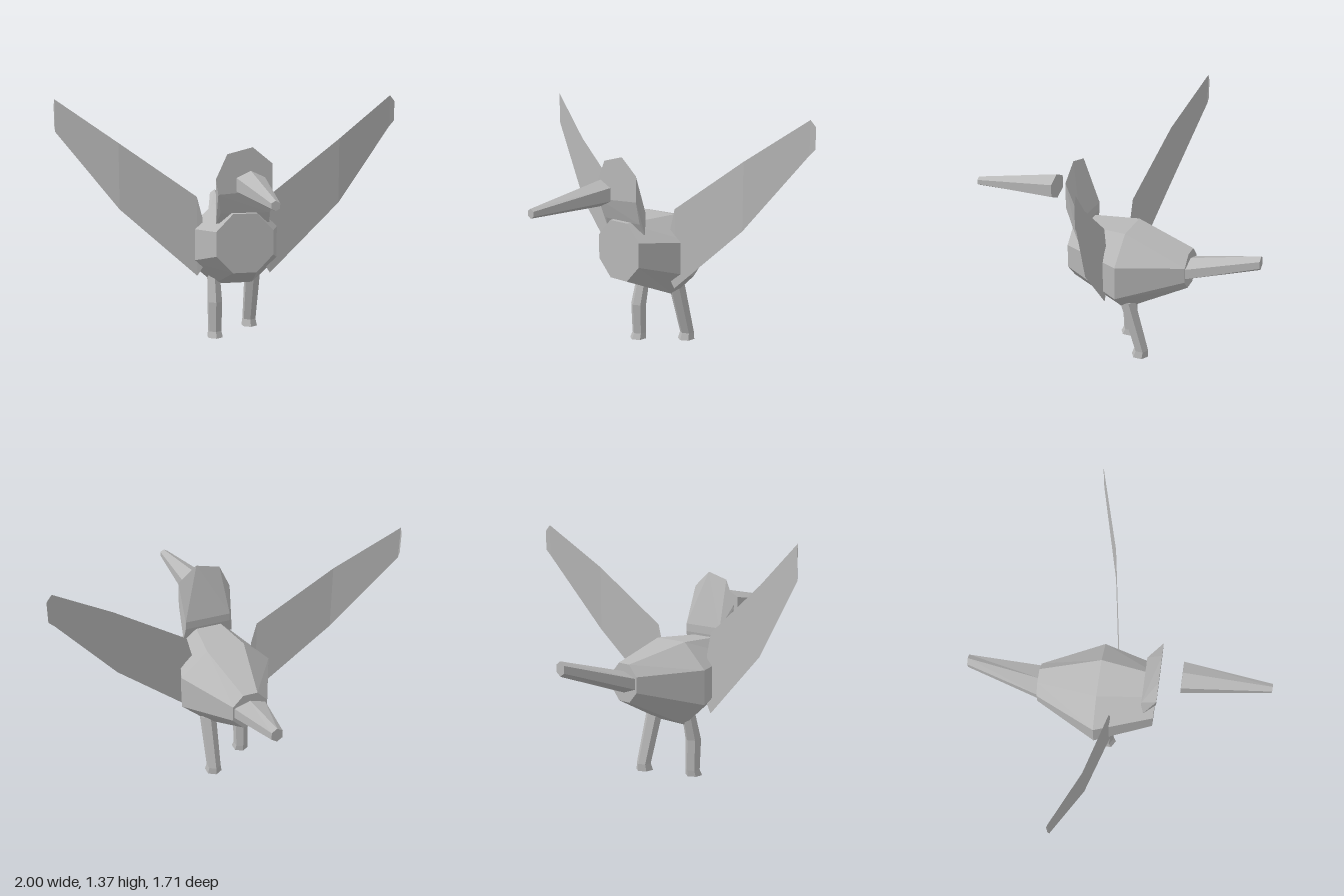
import * as THREE from 'three';
import { ConvexGeometry } from 'three/addons/geometries/ConvexGeometry.js';

const plumage = new THREE.MeshStandardMaterial({ color: 0xb8b8b8, flatShading: true });
plumage.name = 'plumage grey';
const wingGrey = plumage;

// Faceted tube through elliptical rings [x, y, z, rx, ry], listed from front to back
function loft(rings, sides, phase) {
  const pos = [], index = [], last = (rings.length - 1) * sides;
  for (const [x, y, z, rx, ry] of rings) {
    for (let j = 0; j < sides; j++) {
      const a = phase + (j / sides) * Math.PI * 2;
      pos.push(x + rx * Math.cos(a), y + ry * Math.sin(a), z);
    }
  }
  for (let i = 0; i < rings.length - 1; i++) {
    for (let j = 0; j < sides; j++) {
      const k = (j + 1) % sides;
      const a = i * sides + j, b = i * sides + k, c = a + sides, d = b + sides;
      index.push(a, c, b, b, c, d);
    }
  }
  for (let j = 1; j < sides - 1; j++) {
    index.push(0, j, j + 1, last, last + j + 1, last + j);
  }
  return facet(pos, index);
}

function facet(pos, index) {
  const indexed = new THREE.BufferGeometry();
  indexed.setAttribute('position', new THREE.Float32BufferAttribute(pos, 3));
  indexed.setIndex(index);
  const g = indexed.toNonIndexed();
  g.computeVertexNormals();
  return g;
}

// Thin wing from stations [x, z, bottom, top], root to tip
function wingGeometry(stations) {
  const pos = [], index = [];
  stations.forEach(([x, z, bottom, top], i) => {
    pos.push(x, bottom, z, x, top, z);
    if (i) {
      const a = (i - 1) * 2;
      index.push(a, a + 2, a + 1, a + 1, a + 2, a + 3);
    }
  });
  return facet(pos, index);
}

// Leg from rings [height, z, radius], top to bottom
function legGeometry(x, rings) {
  const g = loft(rings.map(([y, z, r]) => [x, -z, y, r * 0.95, r]), 6, Math.PI / 2);
  return g.rotateX(-Math.PI / 2);
}

export function createModel() {
  const bird = new THREE.Group();
  bird.name = 'bird';
  const add = (name, geometry, material = plumage) => {
    const mesh = new THREE.Mesh(geometry, material);
    mesh.name = name;
    bird.add(mesh);
  };

  // Octagonal body, widest in the middle
  const k = 1 / Math.cos(Math.PI / 8);
  add('body', loft([
    [0, 0.595, 0.228, 0.16 * k, 0.165 * k],
    [0, 0.535, -0.1, 0.265 * k, 0.235 * k],
    [0, 0.575, -0.45, 0.1 * k, 0.105 * k],
  ], 8, Math.PI / 8));

  // Flat-fronted wedge head with a short neck
  const headPoints = [
    [0.04, 1.125, 0.238], [-0.1, 1.09, 0.238], [-0.163, 0.955, 0.238], [-0.15, 0.87, 0.238],
    [0.15, 1.035, 0.238], [0.15, 0.89, 0.238],
    [-0.13, 0.82, 0.155], [0.14, 0.82, 0.155], [-0.13, 0.775, 0.155], [0.14, 0.775, 0.155],
    [-0.15, 0.7, 0.17], [0.15, 0.7, 0.17], [-0.13, 0.76, 0.2], [0.14, 0.76, 0.2],
  ];
  add('head', new ConvexGeometry(headPoints.map((p) => new THREE.Vector3(...p))));

  // Beak and tail are tapering hexagonal spikes
  add('beak', loft([
    [0.003, 0.94, 0.855, 0.026, 0.026].map((v, i) => (i === 0 ? 0.02 : i === 1 ? 0.9 : v)),
    [0.003, 0.94, 0.36, 0.09, 0.073],
  ], 6, Math.PI / 2));
  add('tail', loft([
    [0, 0.573, -0.43, 0.108, 0.06],
    [0.03, 0.701, -0.857, 0.035, 0.041],
  ], 6, Math.PI / 2));

  // Raised wings, swept back toward the tips
  const sheet = wingGrey.clone();
  sheet.name = 'wing grey';
  sheet.side = THREE.DoubleSide;
  for (const [name, side] of [['leftWing', 1], ['rightWing', -1]]) {
    const stations = [
      [0.18, -0.01, 0.42, 0.7],
      [0.212, -0.013, 0.37, 0.825],
      [0.64, -0.088, 0.755, 1.13],
      [0.982, -0.2, 1.188, 1.37],
      [1.013, -0.207, 1.22, 1.335],
    ].map(([x, z, b, t]) => [Math.max(-1, Math.min(1, side * x - 0.014)), z, b, t]);
    add(name, wingGeometry(stations), sheet);
  }

  // Legs in mid-step
  add('rightLeg', legGeometry(-0.12, [
    [0.38, -0.085, 0.04], [0.21, -0.043, 0.047], [0.035, -0.048, 0.043], [0, -0.038, 0.05],
  ]));
  add('leftLeg', legGeometry(0.117, [
    [0.36, -0.117, 0.05], [0.055, -0.207, 0.043], [0.014, -0.2, 0.051],
  ]));
  return bird;
}
